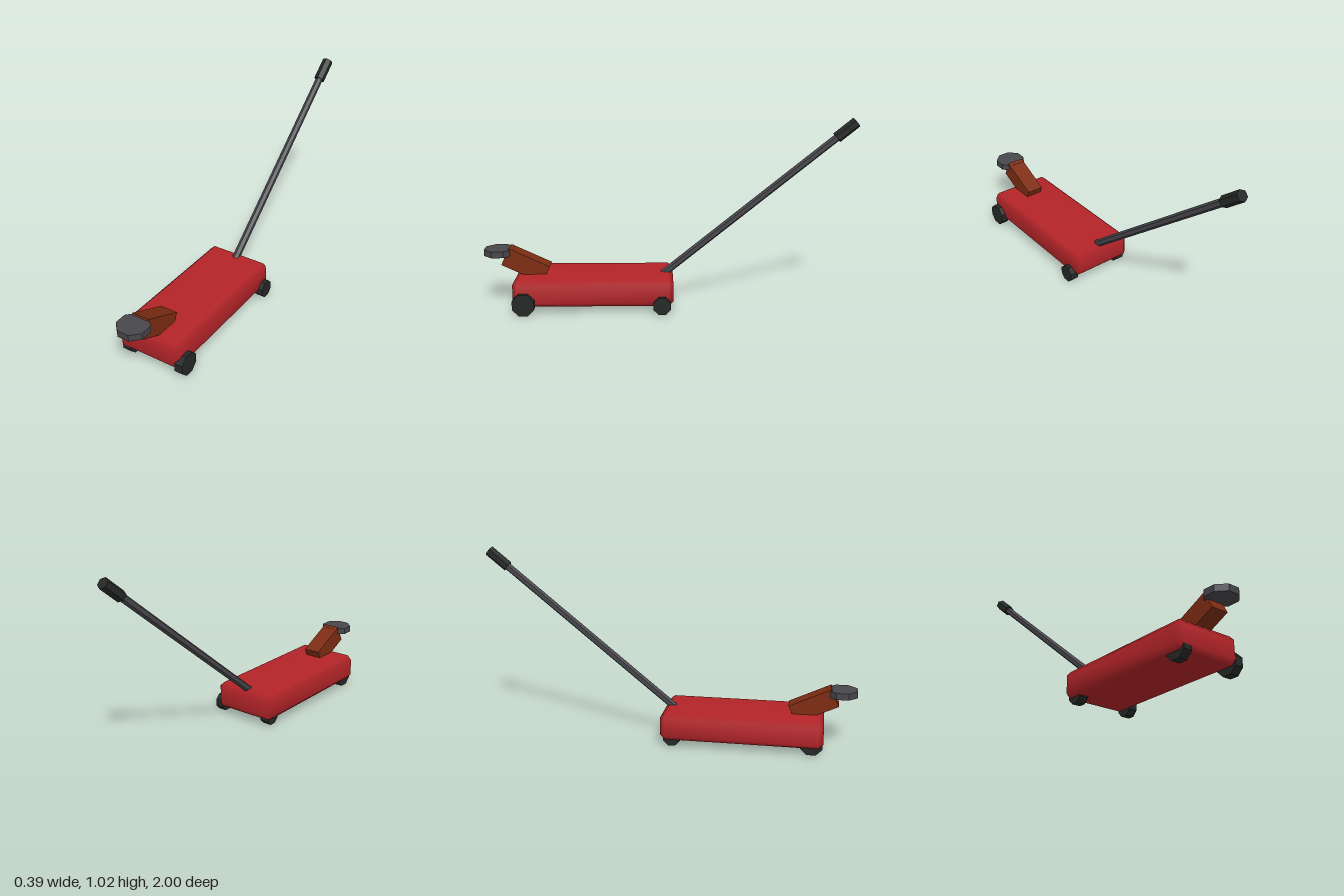
import * as THREE from 'three';
import { mergeVertices } from 'three/addons/utils/BufferGeometryUtils.js';
import { ConvexGeometry } from 'three/addons/geometries/ConvexGeometry.js';

const CX = -0.0135; // centre line of body, arm, saddle and handle

function material(name, color) {
  const m = new THREE.MeshStandardMaterial({ color });
  m.name = name;
  return m;
}

// Box with a single chamfer on every edge and soft normals
function chamferedBox(w, h, d, b) {
  const x = w / 2, y = h / 2, z = d / 2, points = [];
  for (const sx of [-1, 1]) for (const sy of [-1, 1]) for (const sz of [-1, 1]) {
    points.push(
      new THREE.Vector3(sx * x, sy * (y - b), sz * (z - b)),
      new THREE.Vector3(sx * (x - b), sy * y, sz * (z - b)),
      new THREE.Vector3(sx * (x - b), sy * (y - b), sz * z)
    );
  }
  const hull = new ConvexGeometry(points);
  hull.deleteAttribute('normal');
  const geometry = mergeVertices(hull, 1e-4);
  geometry.computeVertexNormals();
  return geometry;
}

// Octagonal disc with flats facing the axes, sized by its flat-to-centre distance
function octagon(apothem, height) {
  const geometry = new THREE.CylinderGeometry(1, 1, height, 8).rotateY(Math.PI / 8);
  const r = apothem / Math.cos(Math.PI / 8);
  return geometry.scale(r, 1, r).toNonIndexed();
}

// Six-sided rod between two points
function hexRod(a, b, radius) {
  const along = b.clone().sub(a);
  const geometry = new THREE.CylinderGeometry(radius, radius, along.length(), 6);
  const mid = a.clone().add(b).multiplyScalar(0.5);
  geometry.rotateX(Math.atan2(along.z, along.y));
  return geometry.translate(mid.x, mid.y, mid.z).toNonIndexed();
}

function flat(geometry) {
  geometry.computeVertexNormals();
  return geometry;
}

export function createModel() {
  const group = new THREE.Group();
  const red = material('red paint', 0xb32428);
  const rust = material('rust brown', 0x7d2c12);
  const steel = material('dark steel', 0x47474c);
  const rubber = material('black rubber', 0x262828);

  const add = (name, geometry, mat, x = 0, y = 0, z = 0) => {
    const mesh = new THREE.Mesh(geometry, mat);
    mesh.name = name;
    mesh.position.set(x, y, z);
    group.add(mesh);
    return mesh;
  };

  // Chassis
  add('body', chamferedBox(0.363, 0.145, 0.85, 0.025), red, CX, 0.108, 0.41);

  // Lifting arm and saddle
  const arm = add('liftArm', new THREE.BoxGeometry(0.096, 0.1, 0.24), rust, CX, 0.2275, 0.778);
  arm.rotation.x = -0.44;
  add('saddle', flat(octagon(0.078, 0.035)), steel, CX, 0.2975, 0.922);

  // Wheels: the pair on one side sits outboard, the other is tucked under the body
  for (const [side, x] of [['left', 0.169], ['right', -0.1475]]) {
    add(side + 'FrontWheel', flat(octagon(0.0575, 0.048).rotateZ(Math.PI / 2)), rubber, x, 0.0575, 0.775);
    add(side + 'BackWheel', flat(octagon(0.045, 0.048).rotateZ(Math.PI / 2)), rubber, x, 0.048, 0.045);
  }

  // Handle and grip
  const base = new THREE.Vector3(-0.0145, 0.157, 0.05);
  const gripStart = new THREE.Vector3(-0.0145, 0.91, -0.88);
  const gripEnd = new THREE.Vector3(-0.0145, 0.992, -0.981);
  add('handle', flat(hexRod(base, gripStart, 0.0205)), steel);
  add('grip', flat(hexRod(gripStart, gripEnd, 0.03)), rubber);

  return group;
}
